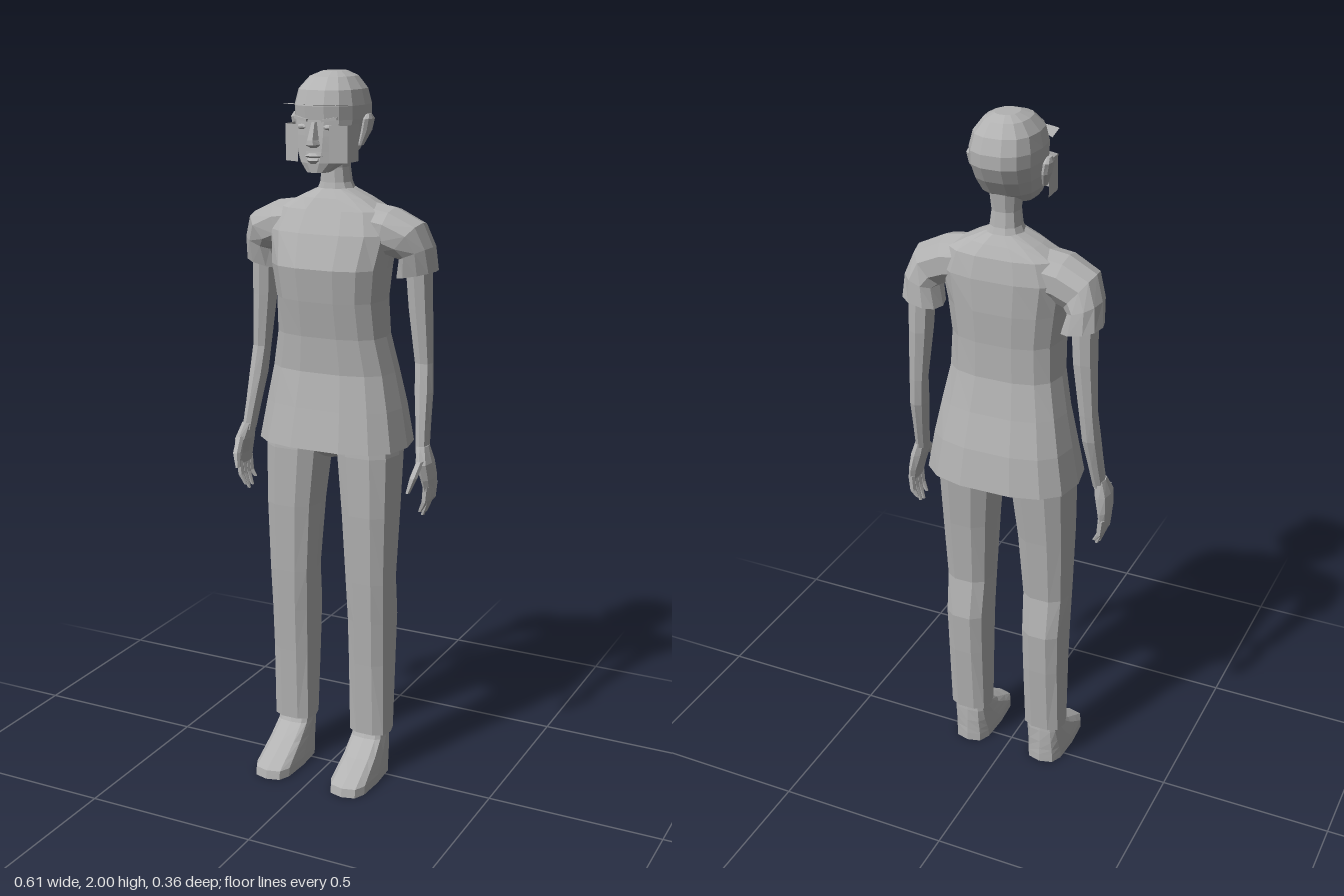
import * as THREE from 'three';

const grey = new THREE.MeshStandardMaterial({ color: 0xb2b2b2, flatShading: true, side: THREE.DoubleSide });
grey.name = 'plain grey';

// Loft through rings listed from top to bottom (or outwards along a limb).
// ring: [y, halfWidth, zFront, zBack, centreX = 0, tiltDegrees = 0]
function loft(rings, { sides = 10, power = 0.85, mirror = 1, caps = true } = {}) {
  const pos = [], index = [];
  const pw = (v) => Math.sign(v) * Math.pow(Math.abs(v), power);
  const face = (a, b, c) => (mirror > 0 ? index.push(a, b, c) : index.push(a, c, b));
  rings.forEach(([y, w, zf, zb, cx = 0, tilt = 0]) => {
    const t = (tilt * Math.PI) / 180;
    for (let j = 0; j < sides; j++) {
      const a = (j / sides) * Math.PI * 2;
      const r = w * pw(Math.cos(a));
      pos.push(mirror * (cx + r * Math.cos(t)), y + r * Math.sin(t), (zf + zb) / 2 + ((zf - zb) / 2) * pw(Math.sin(a)));
    }
  });
  for (let i = 0; i < rings.length - 1; i++) {
    for (let j = 0; j < sides; j++) {
      const k = (j + 1) % sides, a = i * sides, b = a + sides;
      face(a + j, a + k, b + j);
      face(a + k, b + k, b + j);
    }
  }
  if (caps) {
    const e = (rings.length - 1) * sides;
    for (let j = 1; j < sides - 1; j++) {
      face(0, j + 1, j);
      face(e, e + j, e + j + 1);
    }
  }
  const g = new THREE.BufferGeometry();
  g.setAttribute('position', new THREE.Float32BufferAttribute(pos, 3));
  g.setIndex(index);
  const flat = g.toNonIndexed();
  flat.computeVertexNormals();
  return flat;
}

// Vertical strip following a plan path of [x, z] points.
function strip(path, y0, y1) {
  const g = new THREE.PlaneGeometry(1, 1, path.length - 1, 1);
  const p = g.attributes.position;
  path.forEach(([x, z], i) => {
    p.setXYZ(i, x, y1, z);
    p.setXYZ(i + path.length, x, y0, z);
  });
  g.computeVertexNormals();
  return g;
}

export function createModel() {
  const model = new THREE.Group();
  model.name = 'standing figure';
  const add = (name, geometry, parent = model) => {
    const m = new THREE.Mesh(geometry, grey);
    m.name = name;
    parent.add(m);
    return m;
  };

  // Shirt, flaring to an open hem
  add('shirt', loft([
    [1.695, 0.045, 0.02, -0.085], [1.67, 0.1, 0.035, -0.1], [1.64, 0.155, 0.05, -0.115],
    [1.58, 0.178, 0.08, -0.125], [1.49, 0.163, 0.11, -0.125], [1.4, 0.152, 0.098, -0.12],
    [1.3, 0.157, 0.08, -0.12], [1.2, 0.178, 0.073, -0.14], [1.1, 0.198, 0.09, -0.165], [0.99, 0.217, 0.11, -0.182],
  ], { sides: 14, power: 0.72, caps: false }));

  // Hips under the shirt
  add('hips', loft([[1.12, 0.16, 0.05, -0.11], [1.02, 0.17, 0.055, -0.115], [0.97, 0.1, 0.04, -0.1], [0.95, 0.03, 0.02, -0.06]]));

  // Neck and head
  add('neck', loft([[1.82, 0.045, 0.03, -0.08], [1.75, 0.037, 0.01, -0.07], [1.71, 0.042, 0.012, -0.075], [1.67, 0.06, 0.02, -0.09]]));
  const head = new THREE.Group();
  head.name = 'head';
  model.add(head);
  add('skull', loft([
    [2.0, 0.03, 0.015, -0.06], [1.987, 0.058, 0.055, -0.09], [1.955, 0.083, 0.09, -0.115],
    [1.915, 0.092, 0.103, -0.129], [1.88, 0.091, 0.1, -0.128], [1.84, 0.086, 0.103, -0.108],
    [1.8, 0.076, 0.105, -0.078], [1.77, 0.058, 0.108, -0.03], [1.745, 0.03, 0.105, 0.04],
  ], { sides: 14, power: 0.8 }), head);
  add('nose', loft([[1.875, 0.008, 0.108, 0.08], [1.83, 0.014, 0.128, 0.08], [1.818, 0.019, 0.13, 0.08], [1.81, 0.012, 0.112, 0.08]], { sides: 6 }), head);
  add('upperLip', loft([[1.796, 0.012, 0.113, 0.09], [1.789, 0.026, 0.12, 0.08], [1.784, 0.022, 0.111, 0.08]], { sides: 8 }), head);
  add('lowerLip', loft([[1.783, 0.02, 0.111, 0.08], [1.777, 0.02, 0.118, 0.08], [1.768, 0.01, 0.11, 0.08]], { sides: 8 }), head);

  // Thin curved peak above the brow
  const peak = new THREE.PlaneGeometry(1, 1, 8, 1);
  const pp = peak.attributes.position;
  for (let i = 0; i <= 8; i++) {
    const u = i / 4 - 1;
    pp.setXYZ(i, u * 0.085, 1.918, 0.105 - 0.045 * u * u);
    pp.setXYZ(i + 9, u * 0.076, 1.922, 0.147 - 0.02 * u * u);
  }
  peak.computeVertexNormals();
  add('peak', peak, head);

  for (const s of [1, -1]) {
    const side = s > 0 ? 'left' : 'right';
    const opt = (o) => ({ mirror: s, ...o });

    // Face details
    const eye = add(side + 'Eye', new THREE.SphereGeometry(1, 8, 6), head);
    eye.scale.set(0.017, 0.007, 0.01);
    eye.position.set(s * 0.038, 1.862, 0.093);
    const brow = add(side + 'Brow', new THREE.BoxGeometry(0.042, 0.007, 0.012), head);
    brow.position.set(s * 0.04, 1.882, 0.093);
    brow.rotation.set(0, s * 0.25, s * 0.15);
    const ear = add(side + 'Ear', loft([
      [1.892, 0.006, 0.005, -0.02, 0.106], [1.88, 0.011, 0.018, -0.034, 0.106],
      [1.85, 0.011, 0.017, -0.03, 0.1], [1.812, 0.006, 0.018, -0.004, 0.09],
    ], opt({ sides: 8 })), head);
    ear.position.z = 0;
    add(side + 'CheekPlate', strip([[s * 0.045, 0.104], [s * 0.09, 0.088], [s * 0.092, 0.025]], 1.772, 1.868), head);

    // Sleeve running over the shoulder
    add(side + 'Sleeve', loft([
      [1.6, 0.065, 0.035, -0.1, 0.08, 90], [1.588, 0.065, 0.04, -0.1, 0.16, 76],
      [1.565, 0.063, 0.03, -0.1, 0.213, 50], [1.53, 0.048, 0.012, -0.112, 0.232, 22],
      [1.47, 0.057, -0.005, -0.118, 0.228, 12],
    ], opt({ caps: false })));

    // Arm
    add(side + 'Arm', loft([
      [1.53, 0.036, -0.015, -0.1, 0.232], [1.38, 0.032, -0.025, -0.1, 0.239],
      [1.23, 0.025, -0.035, -0.09, 0.251], [1.15, 0.024, -0.02, -0.083, 0.257],
      [1.07, 0.019, -0.004, -0.063, 0.264], [0.99, 0.016, 0.012, -0.042, 0.271],
    ], opt({ sides: 8 })));

    // Hand with fingers and thumb
    const hand = new THREE.Group();
    hand.name = side + 'Hand';
    model.add(hand);
    add('palm', loft([
      [1.01, 0.016, 0.01, -0.04, 0.272], [0.965, 0.02, 0.035, -0.052, 0.282],
      [0.92, 0.015, 0.026, -0.06, 0.29], [0.888, 0.011, 0.016, -0.06, 0.292],
    ], opt({ sides: 8 })), hand);
    for (let f = 0; f < 4; f++) {
      const z = 0.006 - f * 0.019, tip = [0.825, 0.81, 0.815, 0.835][f];
      add('finger', loft([
        [0.9, 0.01, z + 0.01, z - 0.01, 0.292], [0.855, 0.009, z + 0.009, z - 0.01, 0.288],
        [tip, 0.005, z + 0.003, z - 0.007, 0.274],
      ], opt({ sides: 6 })), hand);
    }
    add('thumb', loft([
      [0.975, 0.011, 0.035, 0.005, 0.28], [0.935, 0.011, 0.067, 0.037, 0.274], [0.895, 0.006, 0.075, 0.058, 0.264],
    ], opt({ sides: 6 })), hand);

    // Trouser leg
    add(side + 'TrouserLeg', loft([
      [1.06, 0.085, 0.06, -0.115, 0.1], [0.97, 0.087, 0.066, -0.115, 0.11], [0.8, 0.077, 0.065, -0.096, 0.117],
      [0.6, 0.068, 0.056, -0.077, 0.12], [0.48, 0.065, 0.05, -0.095, 0.121],
      [0.35, 0.063, 0.043, -0.088, 0.121], [0.13, 0.062, 0.033, -0.07, 0.122],
    ], opt({ sides: 10, power: 0.75 })));

    // Shoe with a flat sole
    add(side + 'Shoe', loft([
      [0.15, 0.045, 0.015, -0.06, 0.12], [0.115, 0.05, 0.03, -0.063, 0.12], [0.075, 0.053, 0.085, -0.064, 0.121],
      [0.045, 0.056, 0.14, -0.064, 0.121], [0.025, 0.058, 0.178, -0.065, 0.121], [0, 0.058, 0.182, -0.065, 0.121],
    ], opt({ sides: 12, power: 0.6 })));
  }
  return model;
}
